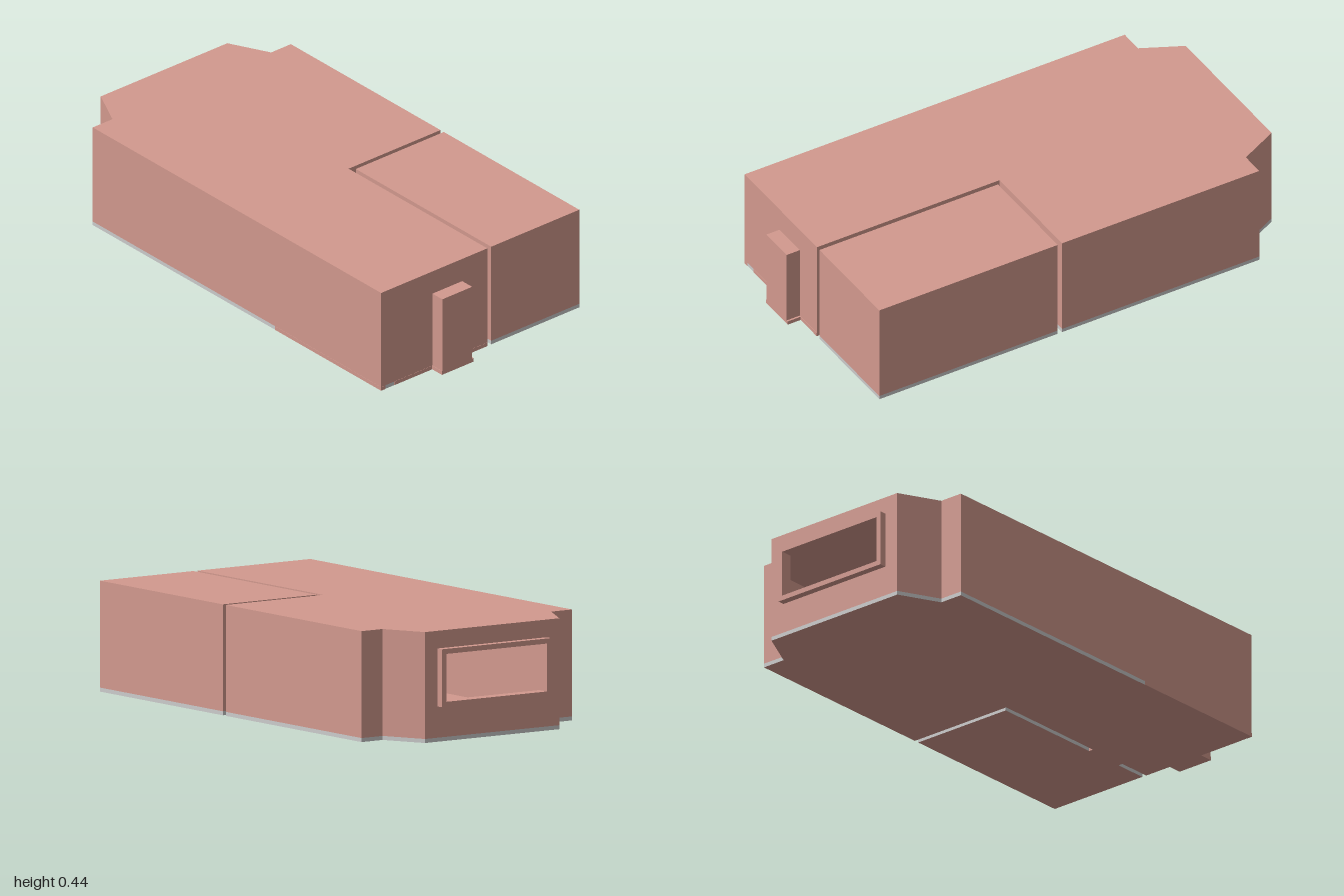
import * as THREE from 'three';

const H = 0.44, FLOOR = 0.016, ROOF = 0.02, WALL = 0.02;

export function createModel() {
  const model = new THREE.Group();
  model.name = 'building';
  const clay = new THREE.MeshStandardMaterial({ color: 0xd2998e });
  const grey = new THREE.MeshStandardMaterial({ color: 0xcccccc });

  const add = (parent, name, geometry, material = clay) => {
    const mesh = new THREE.Mesh(geometry, material);
    mesh.name = name;
    parent.add(mesh);
    return mesh;
  };
  // Box given by its limits on each axis
  const block = (parent, name, x0, x1, y0, y1, z0, z1) =>
    add(parent, name, new THREE.BoxGeometry(x1 - x0, y1 - y0, z1 - z0))
      .position.set((x0 + x1) / 2, (y0 + y1) / 2, (z0 + z1) / 2);
  const polygon = pts => new THREE.Shape(pts.map(p => new THREE.Vector2(...p)));
  const rect = (x0, y0, x1, y1) => [[x0, y0], [x1, y0], [x1, y1], [x0, y1]];

  // Horizontal plate from an (x, z) outline, hanging down from its top
  const plate = (parent, name, outline, top, depth, material) => {
    const g = new THREE.ExtrudeGeometry(polygon(outline), { depth, bevelEnabled: false });
    g.rotateX(Math.PI / 2);
    add(parent, name, g, material).position.y = top;
  };

  // Hollow wing: floor, roof and one wall per outline edge
  const wing = (name, outline, openings = {}) => {
    const group = new THREE.Group();
    group.name = name;
    model.add(group);
    plate(group, 'floor', outline, FLOOR, FLOOR, [clay, grey]);
    plate(group, 'roof', outline, H, ROOF, clay);
    outline.forEach(([x, z], i) => {
      const [x2, z2] = outline[(i + 1) % outline.length];
      const shape = polygon(rect(0, FLOOR, Math.hypot(x2 - x, z2 - z), H - ROOF));
      if (openings[i]) shape.holes.push(polygon(openings[i]));
      const g = new THREE.ExtrudeGeometry(shape, { depth: WALL, bevelEnabled: false });
      const wall = add(group, 'wall', g);
      wall.position.set(x, 0, z);
      wall.rotation.y = Math.atan2(z - z2, x2 - x);
    });
    return group;
  };

  // L-shaped main wing with tapered end holding the window
  const main = wing('mainWing', [
    [-0.97, -0.327], [-0.802, -0.41], [-0.802, -0.512], [0.102, -0.512], [0.102, -0.037],
    [0.94, -0.037], [0.94, 0.512], [-0.802, 0.512], [-0.802, 0.41], [-0.97, 0.327],
  ], { 9: rect(0.082, 0.16, 0.572, 0.35) });

  // Separate corner wing
  wing('cornerWing', [[0.122, -0.512], [0.94, -0.512], [0.94, -0.057], [0.122, -0.057]]);

  // Clay footing round the front corner of the floor edge
  block(main, 'frontFooting', 0.3, 0.941, 0, FLOOR, 0.49, 0.513);
  block(main, 'sideFooting', 0.92, 0.941, 0, FLOOR, -0.037, 0.445);

  // Window frame standing proud of the end wall
  const frame = polygon(rect(-0.265, 0.14, 0.265, 0.37));
  frame.holes.push(polygon(rect(-0.245, 0.16, 0.245, 0.35)));
  const surround = add(model, 'windowFrame',
    new THREE.ExtrudeGeometry(frame, { depth: 0.05, bevelEnabled: false }));
  surround.rotation.y = Math.PI / 2;
  surround.position.x = -1;

  // Entrance door with threshold, and passage between the wings
  block(model, 'door', 0.92, 1, 0, 0.34, 0.093, 0.247);
  block(model, 'doorThreshold', 0.92, 1, 0, FLOOR, 0.085, 0.249);
  block(model, 'passage', 0.635, 0.795, 0, 0.34, -0.07, -0.025);
  block(model, 'passageThreshold', 0.622, 0.798, 0, FLOOR, -0.07, -0.025);

  return model;
}
